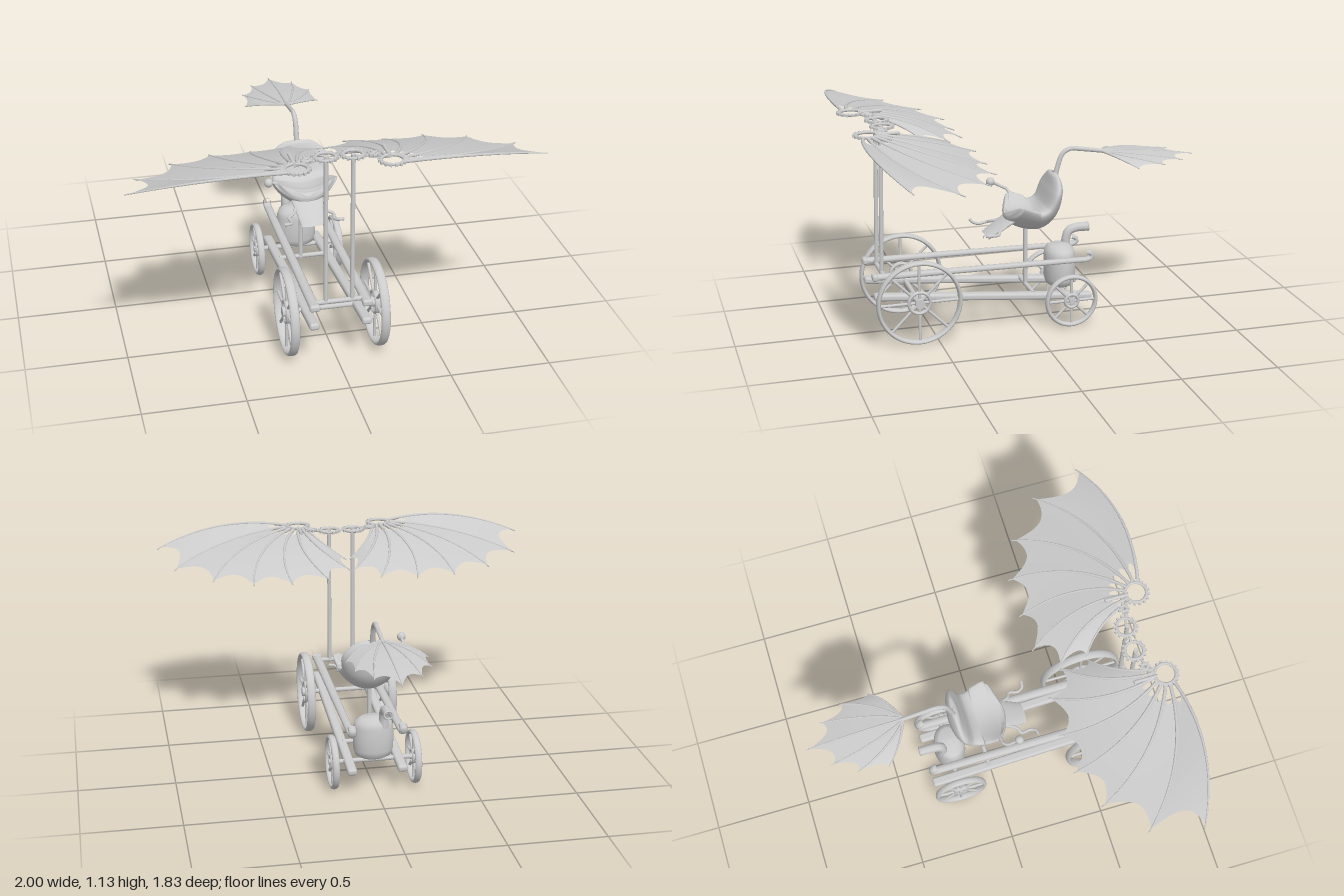
import * as THREE from 'three';
import { ParametricGeometry } from 'three/addons/geometries/ParametricGeometry.js';
import { RoundedBoxGeometry } from 'three/addons/geometries/RoundedBoxGeometry.js';

const mat = new THREE.MeshStandardMaterial({ color: 0xcccccc });
const thin = new THREE.MeshStandardMaterial({ color: 0xcccccc, side: THREE.DoubleSide });
const V = (x, y, z) => new THREE.Vector3(x, y, z);

function add(parent, name, geo, pos = [0, 0, 0], material = mat) {
  const m = new THREE.Mesh(geo, material);
  m.name = name;
  m.position.set(...pos);
  parent.add(m);
  return m;
}

function group(parent, name, pos = [0, 0, 0]) {
  const g = new THREE.Group();
  g.name = name;
  g.position.set(...pos);
  parent.add(g);
  return g;
}

// Straight round bar between two points
function bar(parent, name, a, b, r) {
  const m = add(parent, name, new THREE.CylinderGeometry(r, r, a.distanceTo(b), 12));
  m.position.copy(a).lerp(b, 0.5);
  m.quaternion.setFromUnitVectors(V(0, 1, 0), b.clone().sub(a).normalize());
  return m;
}

// Tube along a curve, shrinking towards its end
function taperTube(curve, r, endScale = 1, n = 24) {
  const geo = new THREE.TubeGeometry(curve, n, r, 8);
  const p = geo.attributes.position, v = V();
  for (let i = 0; i < p.count; i++) {
    const t = Math.floor(i / 9) / n;
    const c = curve.getPointAt(t);
    v.fromBufferAttribute(p, i).sub(c).multiplyScalar(1 + (endScale - 1) * t).add(c);
    p.setXYZ(i, v.x, v.y, v.z);
  }
  return geo;
}
const path = (...pts) => new THREE.CatmullRomCurve3(pts.map((p) => V(...p)));

// Spoked wheel turning about x
function wheel(parent, name, pos, R, width, hubR) {
  const g = group(parent, name, pos);
  g.rotation.y = Math.PI / 2;
  const rim = add(g, 'rim', new THREE.TorusGeometry(R - 0.011, 0.011, 12, 56));
  rim.scale.z = width / 0.022;
  add(g, 'hubRing', new THREE.TorusGeometry(hubR, 0.009, 10, 28)).scale.z = 1.6;
  add(g, 'hub', new THREE.CylinderGeometry(hubR * 0.45, hubR * 0.45, width, 20)).rotation.x = Math.PI / 2;
  for (let i = 0; i < 8; i++) {
    const a = (i * Math.PI) / 4, c = Math.cos(a), s = Math.sin(a);
    bar(g, 'spoke', V(c * hubR * 0.4, s * hubR * 0.4, 0), V(c * (R - 0.012), s * (R - 0.012), 0), 0.0075);
  }
}

// Flat toothed ring
function gear(parent, pos, R, teeth) {
  const g = group(parent, 'gear', pos);
  add(g, 'gearRing', new THREE.TorusGeometry(R, 0.008, 8, 36)).rotation.x = Math.PI / 2;
  for (let i = 0; i < teeth; i++) {
    const a = (i / teeth) * Math.PI * 2;
    const t = add(g, 'tooth', new THREE.BoxGeometry(0.012, 0.013, 0.011),
      [Math.cos(a) * (R + 0.01), 0, Math.sin(a) * (R + 0.01)]);
    t.rotation.y = -a;
  }
}

// Ribs with a scalloped skin stretched between neighbours
function ribbedSkin(parent, curves, ribR, inner, scallop) {
  curves.forEach((c) => add(parent, 'rib', taperTube(c, ribR, 0.35)));
  for (let i = 0; i + 1 < curves.length; i++) {
    const skin = (u, v, out) => {
      const arch = 4 * u * (1 - u);
      const t0 = inner * (0.15 + arch), t1 = 0.97 - scallop * arch;
      const t = t0 + (t1 - t0) * v;
      out.copy(curves[i].getPoint(t)).lerp(curves[i + 1].getPoint(t), u);
    };
    add(parent, 'membrane', new ParametricGeometry(skin, 12, 18), [0, 0, 0], thin);
  }
}

function wing(parent, s) {
  const g = group(parent, s > 0 ? 'leftWing' : 'rightWing');
  const cx = 0.225, cz = 0.84;
  const tips = [[1, 1.035, 0.78], [0.93, 0.985, 0.53], [0.74, 0.965, 0.36], [0.535, 0.955, 0.28],
    [0.33, 0.95, 0.275], [0.13, 0.96, 0.28], [0.005, 0.98, 0.38], [0.008, 1.0, 0.52]];
  const curves = tips.map(([x, y, z], i) => {
    // Ribs leave the ring evenly and bow towards the leading edge
    const a = 0.5 - i * 0.4;
    const sx = cx + Math.cos(a) * 0.058, sz = cz + Math.sin(a) * 0.058;
    const dx = x - sx, dz = z - sz, bow = i === 0 ? 0.19 : 0.2;
    return new THREE.QuadraticBezierCurve3(
      V(s * sx, 1.108, sz),
      V(s * ((sx + x) / 2 - dz * bow), (1.108 + y) / 2 + (i === 0 ? 0.09 : 0.03), (sz + z) / 2 + dx * bow),
      V(s * x, y, z));
  });
  ribbedSkin(g, curves, 0.009, 0.12, 0.1);
  gear(g, [s * cx, 1.11, cz], 0.053, 16);
  gear(g, [s * 0.065, 1.105, 0.735], 0.046, 14);
  gear(g, [s * 0.16, 1.107, 0.757], 0.014, 7);
  bar(g, 'wingPin', V(s * 0.225, 1.11, 0.68), V(s * 0.225, 1.11, 0.8), 0.009);
  bar(g, 'gearLink', V(s * 0.065, 1.1, 0.735), V(s * 0.225, 1.1, 0.79), 0.006);
}

function tail(parent) {
  const g = group(parent, 'tail');
  add(g, 'tailPole', taperTube(path([0, 0.7, -0.165], [0, 0.8, -0.185], [0, 0.875, -0.215],
    [0, 0.897, -0.255], [0, 0.89, -0.32], [0, 0.868, -0.45]), 0.015, 0.7, 40));
  const half = [[0.2, 0.82, -0.56], [0.185, 0.825, -0.71], [0.115, 0.825, -0.83]];
  const tips = [...half.map(([x, y, z]) => [-x, y, z]), [0, 0.82, -0.925], ...half.reverse()];
  const curves = tips.map(([x, y, z]) => new THREE.QuadraticBezierCurve3(
    V(x * 0.05, 0.87, -0.43), V(x * 0.72, 0.875 - Math.abs(x) * 0.06, -0.43 + (z + 0.43) * 0.4), V(x, y, z)));
  ribbedSkin(g, curves, 0.007, 0.04, 0.1);
}

function seat(parent) {
  const g = group(parent, 'seat');
  // Centre line from backrest top to front lip; sizes are half width, half thickness, side wrap
  const line = path([0, 0.782, -0.165], [0, 0.765, -0.165], [0, 0.7, -0.162], [0, 0.6, -0.135],
    [0, 0.545, -0.075], [0, 0.545, 0], [0, 0.565, 0.065], [0, 0.58, 0.09], [0, 0.585, 0.098]);
  const size = path([0.02, 0.004, 0], [0.09, 0.02, 0], [0.15, 0.038, 0.012], [0.145, 0.05, 0.03],
    [0.155, 0.055, 0.06], [0.165, 0.048, 0.08], [0.165, 0.035, 0.085], [0.14, 0.02, 0.075], [0.03, 0.002, 0.01]);
  line.curveType = size.curveType = 'catmullrom';
  const shell = (u, v, out) => {
    const c = line.getPoint(v), k = size.getPoint(v), t = line.getTangent(v);
    const a = u * Math.PI * 2, ca = Math.cos(a);
    const n = k.y * Math.sin(a) + k.z * ca * ca;
    out.set(k.x * ca, c.y + t.z * n, c.z - t.y * n);
  };
  add(g, 'seatShell', new ParametricGeometry(shell, 40, 48), [0, 0, 0], thin);

  // Footrest apron and pedals
  const apron = (u, v, out) => {
    const a = u * Math.PI * 2, w = 0.085 - 0.025 * v;
    out.set(w * Math.cos(a), 0.56 - 0.09 * v + 0.014 * Math.sin(a), 0.06 + 0.14 * v + 0.01 * Math.sin(a));
  };
  add(g, 'footrest', new ParametricGeometry(apron, 24, 6), [0, 0, 0], thin);
  for (const s of [-1, 1]) {
    add(g, 'pedal', taperTube(path([s * 0.06, 0.535, 0.09], [s * 0.09, 0.515, 0.145], [s * 0.115, 0.505, 0.16],
      [s * 0.11, 0.5, 0.21], [s * 0.125, 0.507, 0.235], [s * 0.155, 0.51, 0.24]), 0.008));
  }
  // Hand lever
  add(g, 'lever', taperTube(path([-0.15, 0.64, 0.03], [-0.19, 0.652, 0.035], [-0.207, 0.66, 0.055], [-0.21, 0.69, 0.11]), 0.008));
  add(g, 'leverKnob', new THREE.SphereGeometry(0.023, 20, 14), [-0.21, 0.69, 0.115]);
  bar(g, 'seatPost', V(-0.015, 0.17, -0.02), V(-0.015, 0.52, -0.02), 0.012);
}

function boiler(parent) {
  const g = group(parent, 'boiler');
  const profile = [[0, 0.165], [0.055, 0.168], [0.072, 0.18], [0.08, 0.21], [0.082, 0.27], [0.08, 0.335],
    [0.072, 0.365], [0.05, 0.382], [0, 0.388]].map(([r, y]) => new THREE.Vector2(r, y));
  add(g, 'tank', new THREE.LatheGeometry(profile, 36), [0, 0, -0.2]).scale.x = 1.28;
  add(g, 'exhaustPipe', taperTube(path([-0.045, 0.34, -0.25], [-0.045, 0.4, -0.25], [-0.045, 0.437, -0.265],
    [-0.045, 0.452, -0.3], [-0.045, 0.453, -0.37]), 0.025));
  add(g, 'pipeEnd', new THREE.TorusGeometry(0.021, 0.005, 8, 24), [-0.045, 0.453, -0.369]);
}

export function createModel() {
  const root = new THREE.Group();
  root.name = 'wingedCart';

  for (const s of [-1, 1]) {
    wheel(root, 'frontWheel', [s * 0.224, 0.225, 0.6], 0.22, 0.046, 0.055);
    wheel(root, 'rearWheel', [s * 0.212, 0.147, -0.2], 0.14, 0.036, 0.034);
    // Upper rail with scrolled rear end
    const rail = add(root, 'upperRail', taperTube(path([0, 0.348, 0.81], [0, 0.343, 0.4], [0, 0.338, 0],
      [0, 0.335, -0.26], [0, 0.335, -0.31], [0, 0.35, -0.335], [0, 0.368, -0.328], [0, 0.374, -0.305]), 0.016, 0.8, 80));
    rail.position.x = s * 0.13;
    rail.scale.x = 1.65;
    add(root, 'railEnd', new RoundedBoxGeometry(0.052, 0.034, 0.03, 3, 0.012), [s * 0.13, 0.348, 0.805]);
    // Sloping lower rail
    const low = add(root, 'lowerRail', new RoundedBoxGeometry(0.05, 0.036, 1.15, 3, 0.014), [s * 0.13, 0.19, 0.24]);
    low.rotation.x = -0.095;
    bar(root, 'mast', V(s * 0.065, 0.34, 0.757), V(s * 0.065, 1.11, 0.743), 0.011);
    wing(root, s);
  }
  bar(root, 'frontAxle', V(-0.23, 0.225, 0.6), V(0.23, 0.225, 0.6), 0.012);
  bar(root, 'rearAxle', V(-0.22, 0.147, -0.2), V(0.22, 0.147, -0.2), 0.012);
  bar(root, 'mastCrossbar', V(-0.13, 0.348, 0.757), V(0.13, 0.348, 0.757), 0.012);
  bar(root, 'seatCrossbar', V(-0.13, 0.178, -0.02), V(0.13, 0.178, -0.02), 0.012);

  boiler(root);
  seat(root);
  tail(root);
  return root;
}
